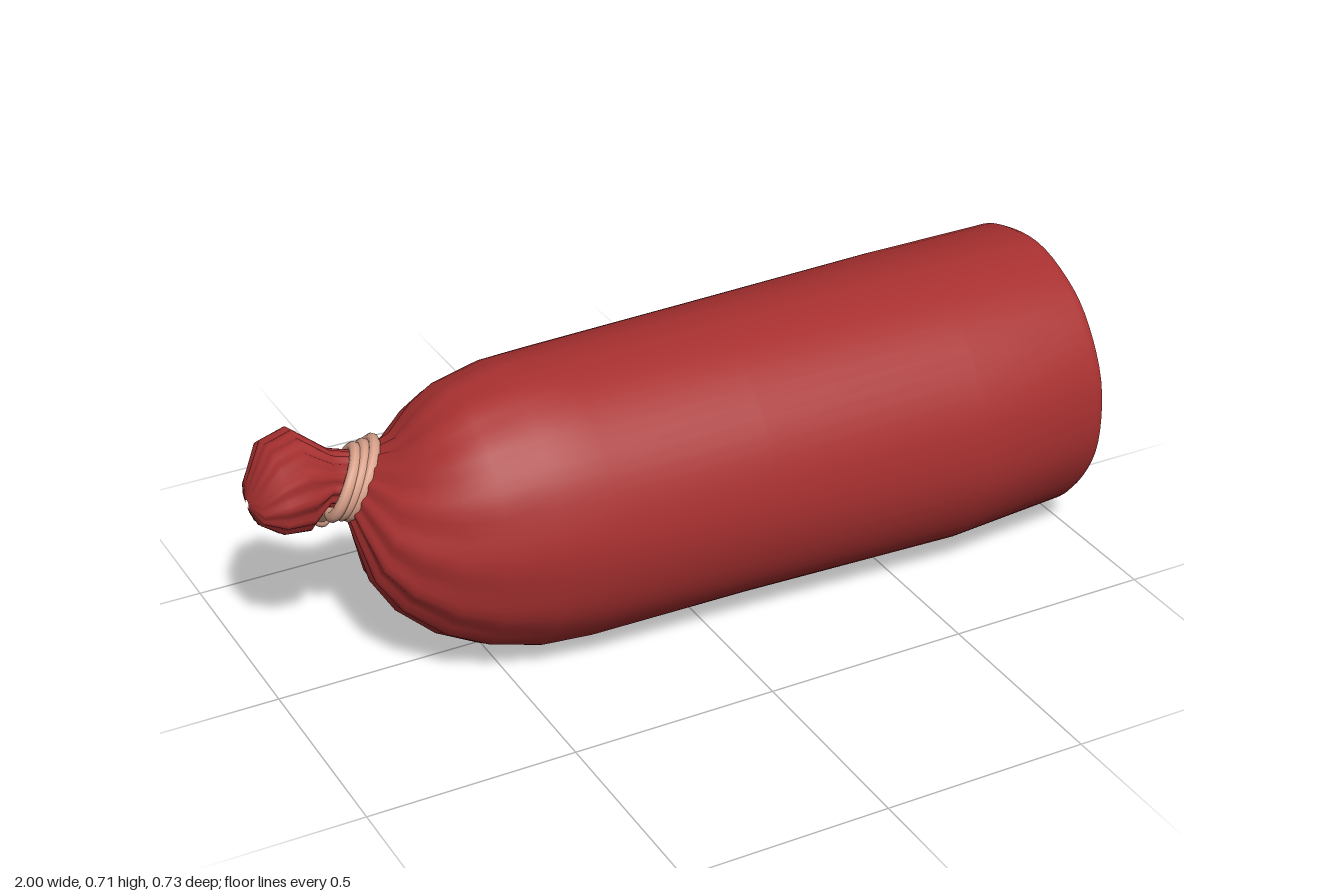
import * as THREE from 'three';

const SEG = 64;

// Rings: x, centre y, centre z, half height, half depth, pleat depth, tilt
const KNOB = [
  [-1.0, 0.46, -0.11, 0.01, 0.01, 0, 0],
  [-0.985, 0.46, -0.11, 0.05, 0.07, 0.06, 0],
  [-0.94, 0.483, -0.115, 0.108, 0.118, 0.07, 0],
  [-0.88, 0.49, -0.112, 0.122, 0.122, 0.08, 0],
  [-0.81, 0.475, -0.11, 0.065, 0.07, 0.13, 0.4],
];
const NECK = [-0.755, 0.465, -0.09, 0.06, 0.06, 0.13, 1];
const BODY = [
  [-0.735, 0.445, -0.06, 0.105, 0.11, 0.11, 0.8],
  [-0.715, 0.413, -0.03, 0.162, 0.16, 0.08, 0.6],
  [-0.68, 0.388, -0.015, 0.218, 0.195, 0.055, 0.35],
  [-0.62, 0.37, 0, 0.275, 0.24, 0.03, 0.12],
  [-0.54, 0.362, 0.005, 0.318, 0.275, 0.015, 0],
  [-0.42, 0.358, 0.008, 0.347, 0.303, 0.005, 0],
  [-0.3, 0.358, 0.01, 0.35, 0.32, 0, 0],
  [0.1, 0.355, 0.002, 0.351, 0.339, 0, 0],
  [0.65, 0.356, 0, 0.356, 0.368, 0, 0],
  [0.975, 0.359, -0.013, 0.351, 0.35, 0, 0],
  [0.996, 0.359, -0.013, 0.341, 0.342, 0, 0],
];

function ringPoint([x, cy, cz, ry, rz, pleat, tilt], a) {
  // pleats gather toward the tie; a faint waviness keeps the skin uneven
  const fold = 1 - pleat * (0.5 + 0.5 * Math.sin(15 * a + 1.5 * Math.sin(2 * a)));
  const wave = 1 - 0.006 * (1 + Math.sin(7 * a + 6 * x) * Math.cos(4 * a - 9 * x));
  const dy = ry * Math.cos(a) * fold * wave;
  const dz = rz * Math.sin(a) * fold * wave;
  return [x + tilt * (0.5 * dy - 0.35 * dz), cy + dy, cz + dz];
}

// Smooth skin through a run of rings
function loft(rings) {
  const pos = [], idx = [];
  rings.forEach((ring, i) => {
    for (let j = 0; j < SEG; j++) {
      pos.push(...ringPoint(ring, j / SEG * Math.PI * 2));
      if (i === rings.length - 1) continue;
      const a = i * SEG + j, b = i * SEG + (j + 1) % SEG;
      idx.push(a, b, a + SEG, b, b + SEG, a + SEG);
    }
  });
  const g = new THREE.BufferGeometry();
  g.setAttribute('position', new THREE.Float32BufferAttribute(pos, 3));
  g.setIndex(idx);
  g.computeVertexNormals();
  return g;
}

// Uneven rounded patch on the cut face
function blob(z, y, long, short, angle, seed) {
  const pts = [];
  for (let j = 0; j < 28; j++) {
    const a = j / 28 * Math.PI * 2;
    const k = 1 + 0.08 * Math.sin(3 * a + seed);
    const u = long * k * Math.cos(a), v = short * k * Math.sin(a);
    const dz = u * Math.cos(angle) - v * Math.sin(angle);
    pts.push(new THREE.Vector2(-z - dz, y + u * Math.sin(angle) + v * Math.cos(angle)));
  }
  return new THREE.Shape(pts);
}

export function createModel() {
  const group = new THREE.Group();
  const red = new THREE.MeshStandardMaterial({ color: 0xa83030 });
  red.name = 'sausage red';
  const cream = new THREE.MeshStandardMaterial({ color: 0xdba38c });
  cream.name = 'fat and string cream';

  const add = (name, geometry, material, parent = group) => {
    const mesh = new THREE.Mesh(geometry, material);
    mesh.name = name;
    parent.add(mesh);
    return mesh;
  };

  // Casing: gathered knob and body, meeting at the neck
  add('gatheredEnd', loft([...KNOB, NECK]), red);
  add('body', loft([NECK, ...BODY]), red);

  // Flat cut face; shape x is -z, so a quarter turn faces it toward +x
  const onCut = (geometry) => geometry.rotateY(Math.PI / 2).translate(0.996, 0, 0);
  const rim = [];
  for (let j = 0; j < SEG; j++) {
    const [, y, z] = ringPoint(BODY.at(-1), -j / SEG * Math.PI * 2);
    rim.push(new THREE.Vector2(-z, y));
  }
  add('cutFace', onCut(new THREE.ShapeGeometry(new THREE.Shape(rim))), red);

  // Fat pieces: z, y, long radius, short radius, angle
  const fat = new THREE.Group();
  fat.name = 'fatPieces';
  group.add(fat);
  [
    [0.157, 0.562, 0.044, 0.031, 2.3],
    [-0.178, 0.475, 0.077, 0.056, 0.7],
    [0.127, 0.389, 0.026, 0.023, 0],
    [0.147, 0.207, 0.08, 0.054, 0.35],
    [-0.093, 0.158, 0.072, 0.041, 2.3],
  ].forEach((spot, i) => {
    const plate = new THREE.ExtrudeGeometry(blob(...spot, i * 2), { depth: 0.004, bevelEnabled: false });
    add('fatPiece', onCut(plate), cream, fat);
  });

  // String coiled around the slanted neck
  const string = new THREE.Group();
  string.name = 'string';
  group.add(string);
  for (const [shift, r] of [[-0.022, 0.07], [0, 0.072], [0.02, 0.078]]) {
    const pts = [];
    for (let j = 0; j < 16; j++) {
      const a = j / 16 * Math.PI * 2, dy = r * Math.cos(a), dz = r * Math.sin(a);
      pts.push(new THREE.Vector3(-0.757 + shift + 0.5 * dy - 0.35 * dz, 0.465 + dy, -0.091 + dz));
    }
    add('stringCoil', new THREE.TubeGeometry(new THREE.CatmullRomCurve3(pts, true), 40, 0.014, 8, true), cream, string);
  }

  // Knot and two loose ends hanging at the back
  const knot = new THREE.Vector3(-0.755, 0.45, -0.17);
  add('knot', new THREE.SphereGeometry(0.028, 12, 8), cream, string).position.copy(knot);
  const tails = [
    [new THREE.Vector3(-0.785, 0.36, -0.26), new THREE.Vector3(-0.8, 0.29, -0.33)],
    [new THREE.Vector3(-0.778, 0.34, -0.22), new THREE.Vector3(-0.765, 0.265, -0.275)],
  ];
  for (const [middle, end] of tails) {
    const path = new THREE.CatmullRomCurve3([knot, middle, end]);
    add('stringEnd', new THREE.TubeGeometry(path, 16, 0.014, 8), cream, string);
    add('stringEndKnot', new THREE.SphereGeometry(0.02, 10, 8), cream, string).position.copy(end);
  }
  return group;
}
